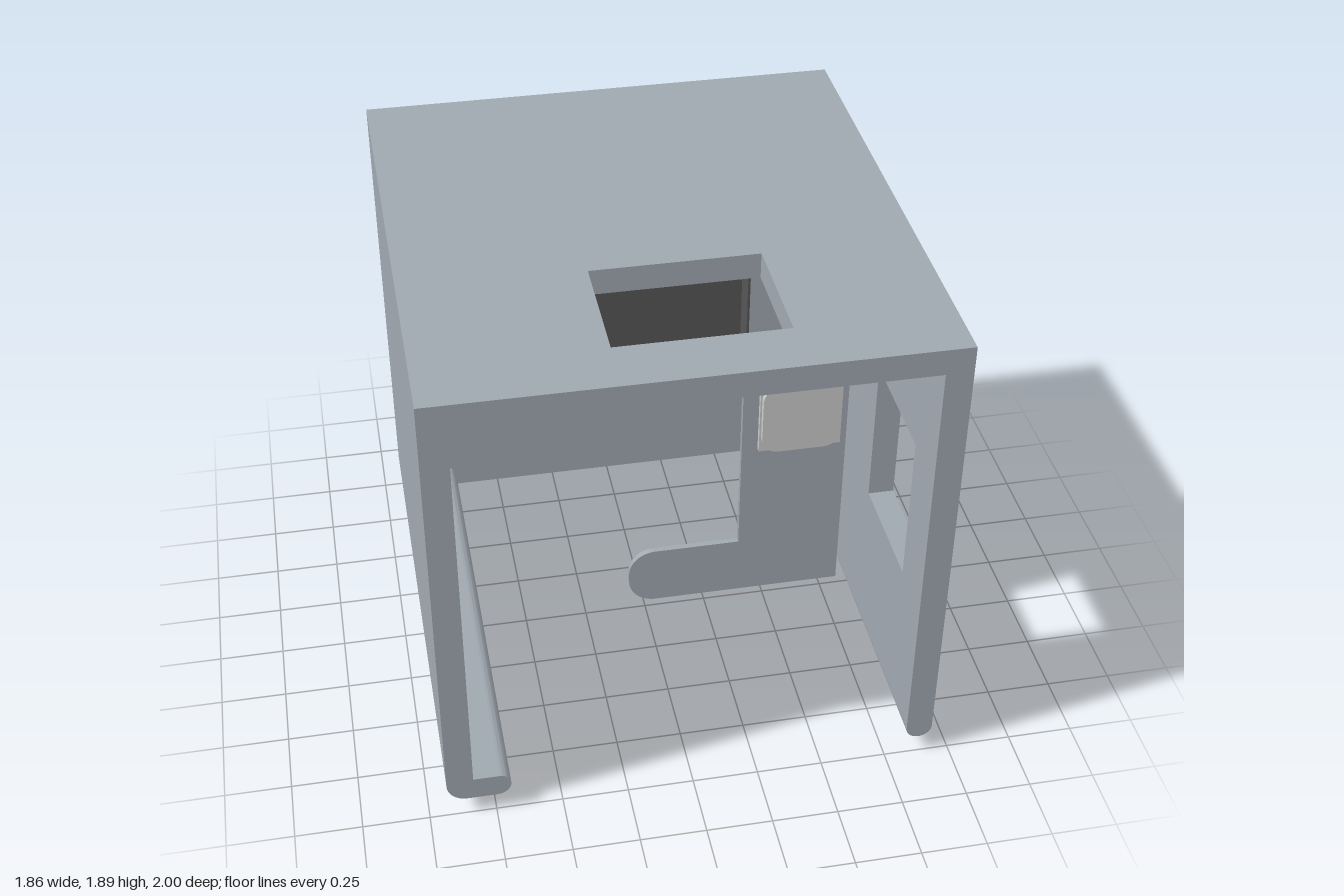
import * as THREE from 'three';
import { toCreasedNormals } from 'three/addons/utils/BufferGeometryUtils.js';

export function createModel() {
  const group = new THREE.Group();
  const mat = (name, color) => {
    const m = new THREE.MeshStandardMaterial({ color });
    m.name = name;
    return m;
  };
  const grey = mat('casing grey', 0xa0a8b0);
  const dark = mat('screen dark grey', 0x555555);
  const light = mat('button light grey', 0xcacaca);

  const add = (name, geometry, material = grey) => {
    const mesh = new THREE.Mesh(geometry, material);
    mesh.name = name;
    group.add(mesh);
    return mesh;
  };
  // Box given by its two extremes on each axis
  const box = (name, x0, x1, y0, y1, z0, z1, material) =>
    add(name, new THREE.BoxGeometry(x1 - x0, y1 - y0, z1 - z0)
      .translate((x0 + x1) / 2, (y0 + y1) / 2, (z0 + z1) / 2), material);
  const extrude = (shape, depth) => toCreasedNormals(new THREE.ExtrudeGeometry(shape,
    { depth, bevelEnabled: false, curveSegments: 10 }), 0.6);
  // Rectangle with corner radii: bottom left, bottom right, top right, top left
  const rect = (x0, x1, y0, y1, [a, b, c, d] = [0, 0, 0, 0]) => {
    const s = new THREE.Shape();
    const arc = (x, y, r, start) => r
      ? s.absarc(x, y, r, start, start + Math.PI / 2, false)
      : s.lineTo(x, y);
    s.moveTo(x0 + a, y0);
    arc(x1 - b, y0 + b, b, -Math.PI / 2);
    arc(x1 - c, y1 - c, c, 0);
    arc(x0 + d, y1 - d, d, Math.PI / 2);
    arc(x0 + a, y0 + a, a, Math.PI);
    return s;
  };

  // Top slab with its rectangular opening
  const top = rect(-0.93, 0.93, -1, 1);
  top.holes.push(rect(-0.26, 0.36, -0.78, -0.31));
  add('topSlab', extrude(top, 0.1).rotateX(-Math.PI / 2).translate(0, 1.79, 0));

  // Left wall with a window, on a rounded bottom edge
  const wall = rect(-1, 1, 0.17, 1.79);
  wall.holes.push(rect(-0.78, -0.31, 0.73, 1.33));
  add('leftWall', extrude(wall, 0.1).rotateY(Math.PI / 2).translate(0.83, 0, 0));
  add('leftWallEdge', extrude(rect(0.83, 0.93, 0.075, 0.17, [0.049, 0.049, 0, 0]), 2)
    .translate(0, 0, -1));

  // Right wall with an inward rounded lip
  box('rightWall', -0.93, -0.83, 0.17, 1.79, -1, 1);
  add('rightWallLip', extrude(rect(-0.93, -0.69, 0.075, 0.17, [0.075, 0.052, 0.042, 0]), 2)
    .translate(0, 0, -1));

  box('backWall', -0.83, 0.83, 0.075, 1.79, -1, -0.86);

  // Thin inner panel: top band, side column and rounded foot in one outline
  const panel = new THREE.Shape();
  panel.moveTo(0.83, 0);
  panel.lineTo(0.83, 1.79);
  panel.lineTo(-0.83, 1.79);
  panel.lineTo(-0.83, 1.16);
  panel.lineTo(0.4, 1.16);
  panel.lineTo(0.4, 0.26);
  panel.lineTo(0.05, 0.26);
  panel.absarc(0.05, 0.15, 0.11, Math.PI / 2, Math.PI, false);
  panel.absarc(0.05, 0.11, 0.11, Math.PI, Math.PI * 1.5, false);
  add('innerPanel', extrude(panel, 0.025).translate(0, 0, -0.06));

  // Sheet under the compartment, facing down
  add('lowerShelf', new THREE.PlaneGeometry(0.89, 0.82).rotateX(Math.PI / 2)
    .translate(0.385, 0.13, -0.45));

  // Screen between two uprights with dark inner faces
  box('screen', -0.38, 0.38, 1.16, 1.79, -0.035, -0.027, dark);
  for (const s of [-1, 1]) {
    const [a, b] = [s * 0.385, s * 0.48];
    box('screenUpright', Math.min(a, b), Math.max(a, b), 1.16, 1.79, -0.035, 0.07);
    box('screenLiner', s * 0.3805 - 0.0045, s * 0.3805 + 0.0045, 1.16, 1.79, -0.035, 0.07, dark);
  }

  // Square button plate with a rounded cap
  box('buttonPlate', 0.465, 0.8, 0.74, 1.08, -0.035, -0.015, light);
  add('buttonCap', extrude(rect(0.472, 0.792, 0.748, 1.068, [0.07, 0.07, 0.07, 0.07]), 0.025)
    .translate(0, 0, -0.015), light);

  return group;
}
